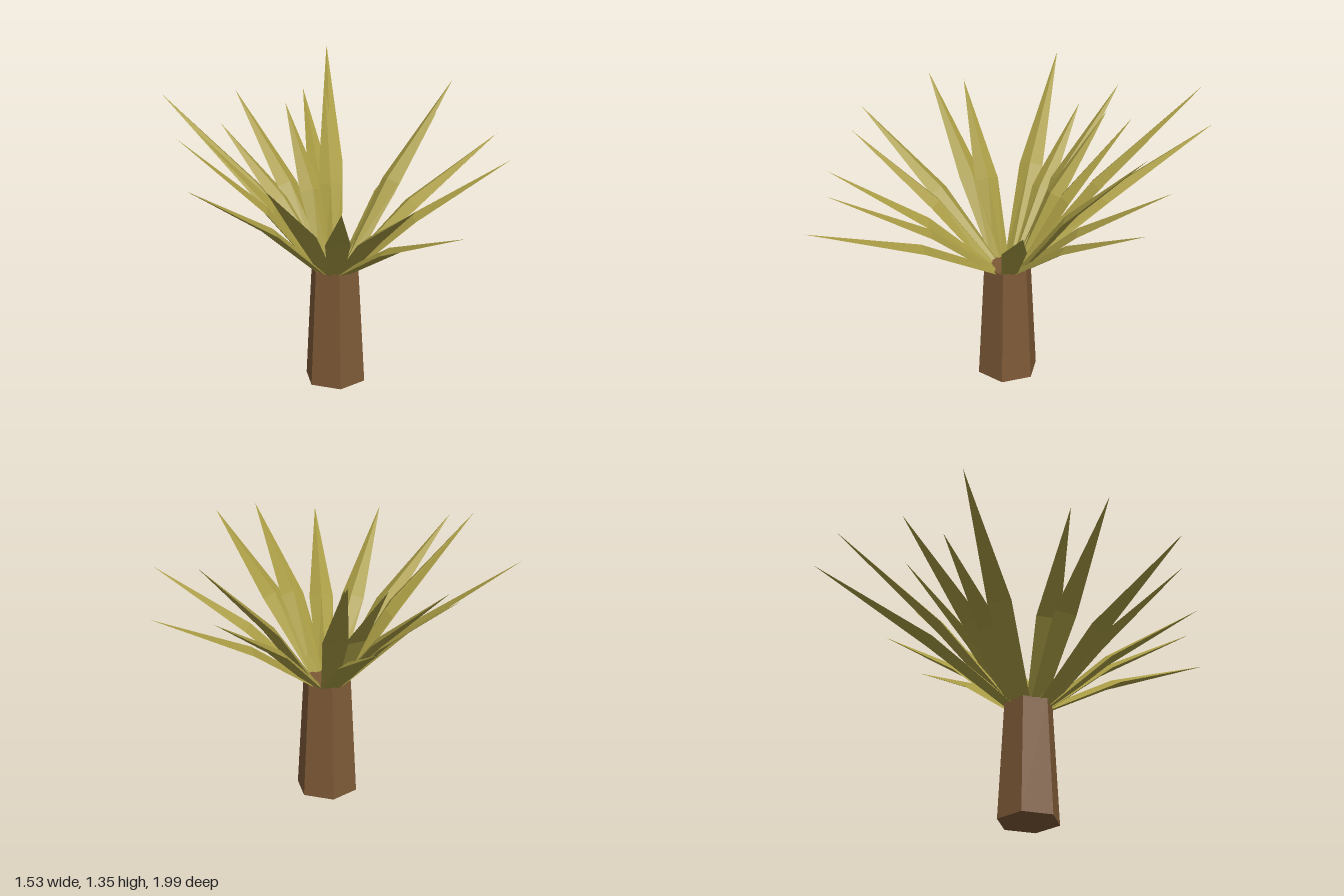
import * as THREE from 'three';

const TRUNK_X = -0.055;
const TRUNK_TOP = 0.55;

// Tip of every leaf: x, y, z
const LEAF_TIPS = [
  [-0.04, 1.1, -0.99], [0.06, 1.345, -0.88], [-0.41, 1.2, -0.68],
  [-0.5, 1.09, -0.52], [-0.195, 1.17, -0.53], [-0.77, 1.25, -0.51],
  [0.53, 1.085, -0.53], [0.57, 1.28, -0.395], [0.765, 1.035, -0.305],
  [0.69, 1.075, 0.2], [-0.66, 1.22, 0], [-0.76, 1.24, 0.14],
  [-0.75, 1.12, 0.475], [-0.44, 1.14, 0.6], [-0.165, 1.09, 0.785],
  [0.115, 1.11, 0.86], [0.285, 1.04, 1], [0, 1.21, -0.57],
];

// Pointed leaf with a flat underside, a ridge on top and one bend near the middle
function leafGeometry(tip) {
  const heading = new THREE.Vector3(tip.x - TRUNK_X, 0, tip.z).normalize();
  const base = new THREE.Vector3(TRUNK_X, TRUNK_TOP - 0.015, 0).addScaledVector(heading, 0.085);
  const dir = tip.clone().sub(base).normalize();
  const side = new THREE.Vector3().crossVectors(heading, new THREE.Vector3(0, 1, 0)).normalize();
  const normal = new THREE.Vector3().crossVectors(side, dir).normalize();
  const bend = base.clone().lerp(tip, 0.43).addScaledVector(normal, 0.03);

  // Triangular section: left edge, ridge, right edge
  const section = (p, halfWidth, ridge) => [
    p.clone().addScaledVector(side, -halfWidth),
    p.clone().addScaledVector(normal, ridge),
    p.clone().addScaledVector(side, halfWidth),
  ];
  const a = section(base, 0.035, 0.025);
  const b = section(bend, 0.055, 0.028);

  const corners = [a[2], a[1], a[0]];
  for (let i = 0; i < 3; i++) {
    const j = (i + 1) % 3;
    corners.push(a[i], a[j], b[j], a[i], b[j], b[i], b[i], b[j], tip);
  }
  const geometry = new THREE.BufferGeometry().setFromPoints(corners);
  geometry.computeVertexNormals();
  return geometry;
}

export function createModel() {
  const bark = new THREE.MeshStandardMaterial({ color: 0x7d5936, flatShading: true });
  bark.name = 'brownBark';
  const foliage = new THREE.MeshStandardMaterial({ color: 0xa89b44, flatShading: true });
  foliage.name = 'oliveLeaf';

  const model = new THREE.Group();
  model.name = 'spikyPlant';

  // Six-sided tapering trunk
  const trunk = new THREE.Mesh(new THREE.CylinderGeometry(0.112, 0.142, TRUNK_TOP, 6), bark);
  trunk.name = 'trunk';
  trunk.position.set(TRUNK_X, TRUNK_TOP / 2, 0);
  model.add(trunk);

  // Crown of leaves
  const crown = new THREE.Group();
  crown.name = 'crown';
  LEAF_TIPS.forEach((t, i) => {
    const leaf = new THREE.Mesh(leafGeometry(new THREE.Vector3(...t)), foliage);
    leaf.name = `leaf${i + 1}`;
    crown.add(leaf);
  });
  model.add(crown);
  return model;
}
